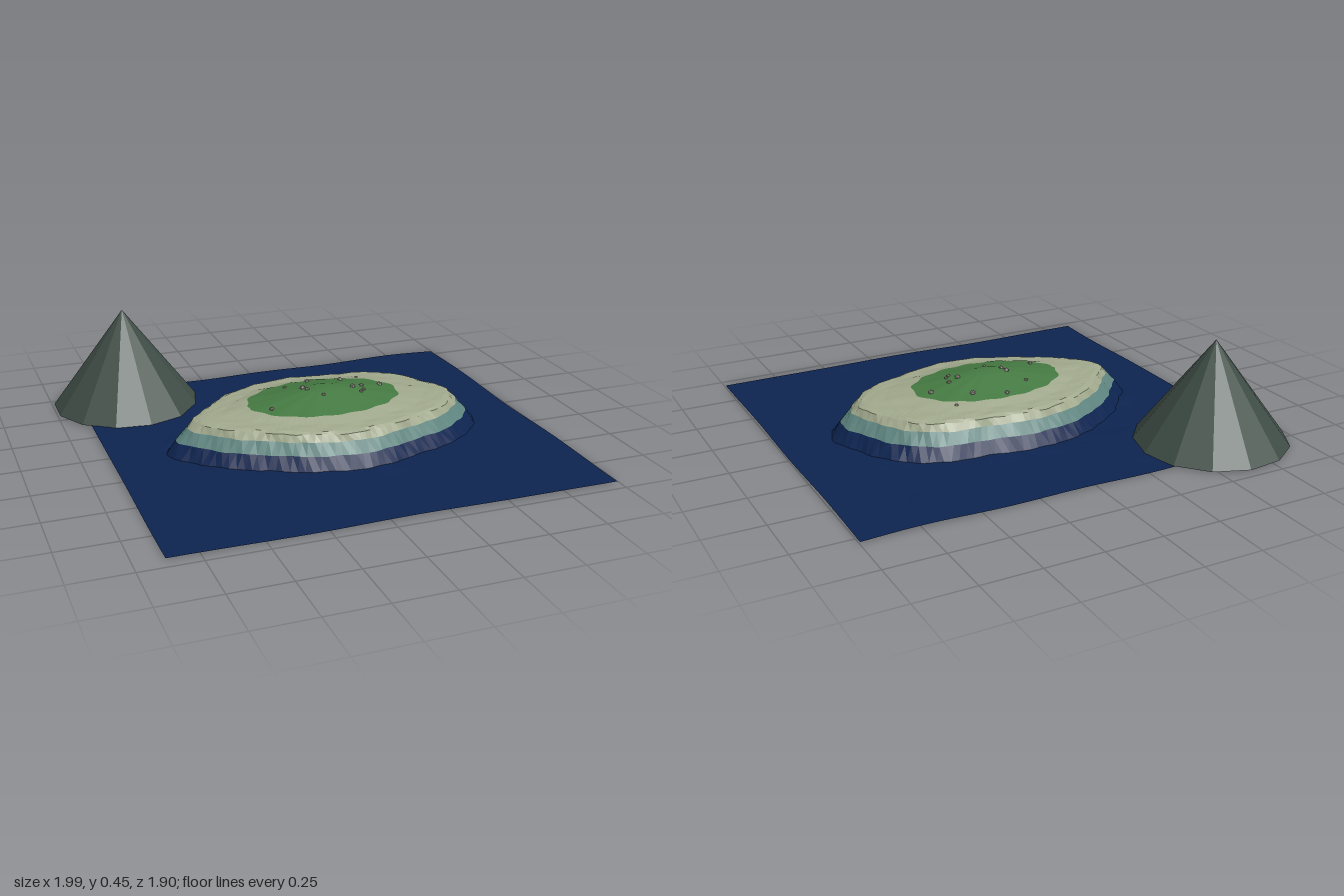
import * as THREE from 'three';

const mat = (name, color, side = THREE.FrontSide) => {
  const m = new THREE.MeshStandardMaterial({ color, side });
  m.name = name;
  return m;
};

// Faceted normals
function faceted(geometry) {
  const g = geometry.index ? geometry.toNonIndexed() : geometry;
  g.computeVertexNormals();
  return g;
}

// Skin a stack of closed rings, each running outward to inward
function skin(rings) {
  const n = rings[0].length, pos = [], idx = [];
  rings.forEach(r => r.forEach(p => pos.push(p.x, p.y, p.z)));
  for (let j = 0; j < rings.length - 1; j++) {
    for (let i = 0; i < n; i++) {
      const a = j * n + i, b = j * n + (i + 1) % n;
      idx.push(a, a + n, b, b, a + n, b + n);
    }
  }
  const g = new THREE.BufferGeometry();
  g.setAttribute('position', new THREE.Float32BufferAttribute(pos, 3));
  g.setIndex(idx);
  return faceted(g);
}

export function createModel() {
  const group = new THREE.Group();
  const D = THREE.DoubleSide;
  const sea = mat('deep sea blue', 0x0d2450, D);
  const shallows = mat('shallow teal', 0x5f8580, D);
  const sand = mat('pale sand', 0xa0a88c, D);
  const grass = mat('grass green', 0x457a42, D);
  const stone = mat('dark grey green', 0x3f4d46);
  const pebble = mat('pebble grey', 0x9a9288);
  const add = (name, geometry, material) => {
    const m = new THREE.Mesh(geometry, material);
    m.name = name;
    group.add(m);
    return m;
  };

  // Island outline at the waterline, sampled as one closed curve
  const N = 112, cx = 0.07, cz = 0.06;
  const outline = new THREE.CatmullRomCurve3([
    [-0.60, 0.06], [-0.50, -0.08], [-0.37, -0.21], [-0.18, -0.31], [0, -0.345], [0.22, -0.32],
    [0.43, -0.29], [0.57, -0.21], [0.67, -0.05], [0.725, 0.08], [0.68, 0.20], [0.565, 0.31],
    [0.38, 0.385], [0.22, 0.435], [0.06, 0.455], [-0.155, 0.40], [-0.34, 0.31], [-0.50, 0.20],
  ].map(([x, z]) => new THREE.Vector3(x, 0, z)), true).getSpacedPoints(N).slice(0, N).reverse();

  // Ring scaled about the island centre, with a slight ragged edge
  const ring = (s, y, rough = 0.006) => outline.map((p, i) => {
    const k = s + rough * (Math.sin(i * 1.7 + s * 40) + Math.sin(i * 0.61 + s * 90));
    return new THREE.Vector3(cx + (p.x - cx) * k, y + rough * 0.25 * Math.sin(i * 0.9 + s * 30), cz + (p.z - cz) * k);
  });
  // Elliptical ring for the grassy crown
  const crown = (s, y) => outline.map((p, i) => {
    const a = Math.atan2((p.z - cz) / 0.4, (p.x - cx) / 0.66);
    const k = s * (1 + 0.02 * Math.sin(i * 0.8));
    return new THREE.Vector3(0.065 + 0.343 * k * Math.cos(a), y, 0.05 + 0.218 * k * Math.sin(a));
  });

  const foot = ring(1.07, 0.008), water = ring(1, 0.065), beach = ring(0.93, 0.115), lawn = crown(1, 0.173);

  // Square sea sheet, projected outward from the island foot
  const box = { x0: -0.88, x1: 0.995, z0: -0.785, z1: 0.945 };
  const edge = outline.map(p => {
    const dx = p.x - cx, dz = p.z - cz;
    const t = Math.min(((dx > 0 ? box.x1 : box.x0) - cx) / dx, ((dz > 0 ? box.z1 : box.z0) - cz) / dz);
    return new THREE.Vector3(cx + dx * t, 0.008, cz + dz * t);
  });
  for (const x of [box.x0, box.x1]) for (const z of [box.z0, box.z1]) {
    const corner = new THREE.Vector3(x, 0.008, z);
    const near = edge.reduce((a, b) => (a.distanceTo(corner) < b.distanceTo(corner) ? a : b));
    near.copy(corner);
  }
  const seaRings = [0, 0.2, 0.4, 0.6, 0.8, 1].map(t => edge.map((p, i) => {
    const q = p.clone().lerp(foot[i], t);
    if (t < 1) q.y = 0.007 + 0.0035 * Math.sin(q.x * 9 + 1) * Math.cos(q.z * 8) + 0.0025 * Math.sin(q.x * 5 - q.z * 6);
    return q;
  }));
  add('sea', skin(seaRings), sea);

  // Island in height bands
  add('deepSlope', skin([foot, water]), sea);
  add('shallowSlope', skin([water, beach]), shallows);
  add('beach', skin([beach, ring(0.89, 0.144), ring(0.85, 0.152), ring(0.78, 0.155), ring(0.70, 0.158), lawn]), sand);
  add('grassCrown', skin([lawn, crown(0.8, 0.183), crown(0.6, 0.195), crown(0.4, 0.207),
    crown(0.24, 0.217), crown(0.1, 0.221), crown(0, 0.222)]), grass);

  // Pebbles scattered on the grass
  const pebbleGeometry = faceted(new THREE.IcosahedronGeometry(0.011, 0));
  [[-0.07, -0.07], [0.06, -0.14], [0.2, -0.09], [0.3, -0.14], [-0.01, 0.05], [-0.02, 0.02], [0.04, 0.12],
    [-0.2, 0.13], [0.2, 0.06], [0.24, 0.09], [0.25, 0.04], [0.35, 0.01], [0.22, 0.11]].forEach(([x, z], i) => {
    const d = Math.hypot((x - 0.065) / 0.343, (z - 0.05) / 0.218);
    const m = add('pebble', pebbleGeometry, pebble);
    m.position.set(x, Math.min(0.221, 0.231 - 0.058 * d), z);
    m.rotation.set(i, i * 2, 0);
    m.scale.setScalar(0.8 + 0.2 * (i % 3));
  });

  // Rock cone standing at the back corner
  const peak = add('rockCone', faceted(new THREE.ConeGeometry(0.335, 0.449, 13)), stone);
  peak.rotation.y = Math.PI / 2;
  peak.position.set(-0.665, 0.006 + 0.2245, -0.625);

  return group;
}
